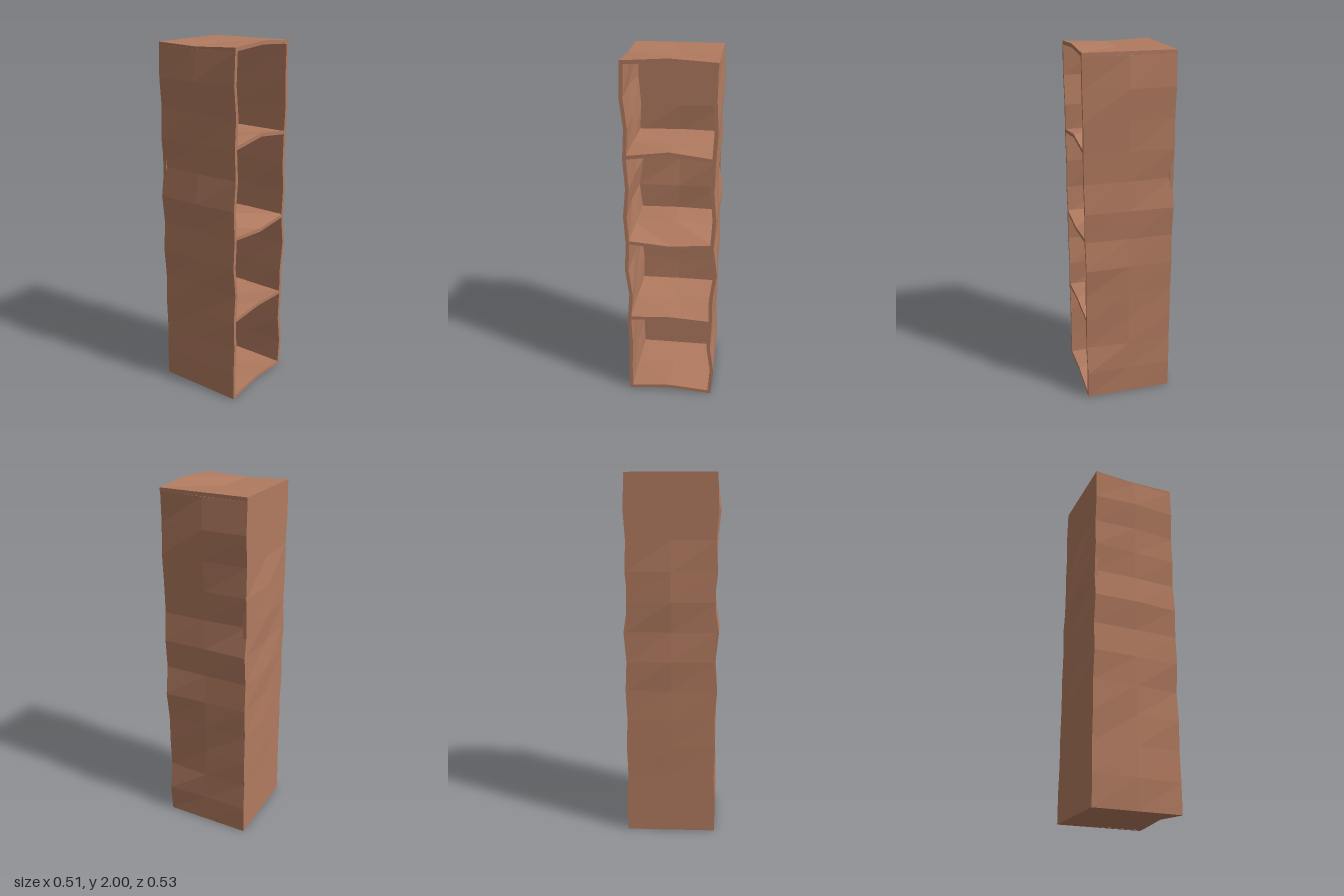
import * as THREE from 'three';

const ROWS = 12, LEFT = -0.237, RIGHT = 0.253, WIDTH = RIGHT - LEFT;
const HEIGHT = 1.966, T = 0.02, DEPTH = 0.49;
const material = new THREE.MeshStandardMaterial({ color: 0xb27b60, flatShading: true });

// A board of boxes whose grid points are pushed along one axis by offset(u, v, w), each 0..1
function warpedBoard(name, size, segments, axis, offset) {
  const geometry = new THREE.BoxGeometry(...size, ...segments);
  const p = geometry.attributes.position;
  for (let i = 0; i < p.count; i++) {
    const c = [p.getX(i), p.getY(i), p.getZ(i)];
    const t = c.map((value, k) => value / size[k] + 0.5);
    c[axis] += offset(...t);
    p.setXYZ(i, ...c);
  }
  geometry.computeVertexNormals();
  const mesh = new THREE.Mesh(geometry, material);
  mesh.name = name;
  return mesh;
}

// Outward wobble in thousandths, one row per step in height: closed end, middle, open end
const frontWobble = [
  [0, 0, 0], [2, 10, 0], [-6, 8, -7], [0, 0, 0], [-6, 6, -14], [8, 8, 6], [-4, -3, -3],
  [13, 20, 6], [-12, -4, -10], [4, 2, 0], [-6, 6, -10], [6, 23, 8], [0, 2, 0],
];
const backWobble = [
  [0, 0, 0], [4, 2, 14], [-4, 4, -10], [2, 0, -3], [-3, 6, -3], [5, 8, 18], [-2, 0, -4],
  [12, 6, 6], [-14, -4, -8], [2, 0, -4], [-4, 6, 5], [8, 15, -5], [0, 4, -3],
];
const rearWobble = [0, 0, 0, 5, 6, 1, 12, 2, 18, 14, 0, 0, 0];

export function createModel() {
  const group = new THREE.Group();
  group.name = 'bookcase';
  const midX = (LEFT + RIGHT) / 2;

  // Two wavy side walls
  for (const [name, side, table] of [['frontWall', 1, frontWobble], ['backWall', -1, backWobble]]) {
    const wall = warpedBoard(name, [WIDTH, HEIGHT, T], [2, ROWS, 1], 2,
      (u, v) => side * table[Math.round(v * ROWS)][Math.round(u * 2)] / 1000);
    wall.position.set(midX, HEIGHT / 2, side * (DEPTH - T) / 2);
    group.add(wall);
  }

  // Closed panel opposite the opening, bulging along its centre line
  const rear = warpedBoard('rearPanel', [T, HEIGHT, DEPTH - 0.01], [1, ROWS, 2], 0,
    (u, v, w) => Math.round(w * 2) === 1 ? -rearWobble[Math.round(v * ROWS)] / 1000 : 0);
  rear.position.set(LEFT + T / 2, HEIGHT / 2, 0);
  group.add(rear);

  // Five boards: rise of the centre line at the middle and at the open end
  const rises = [[0, 0.02], [-0.01, 0.014], [0.02, -0.02], [-0.006, 0.03], [-0.01, 0.015]];
  rises.forEach(([middle, open], i) => {
    const top = i === 4;
    const board = warpedBoard(top ? 'topBoard' : i ? 'shelf' + i : 'bottomBoard',
      [WIDTH, T, top ? DEPTH : DEPTH - 0.015], [2, 1, 2], 1, (u, v, w) => {
        const iu = Math.round(u * 2), iw = Math.round(w * 2);
        if (iw === 1) return [0, middle, open][iu];
        return top && iw === 2 && iu === 1 ? -0.01 : 0;
      });
    board.position.set(midX, i * HEIGHT / 4 + T / 2, 0);
    group.add(board);
  });
  return group;
}
